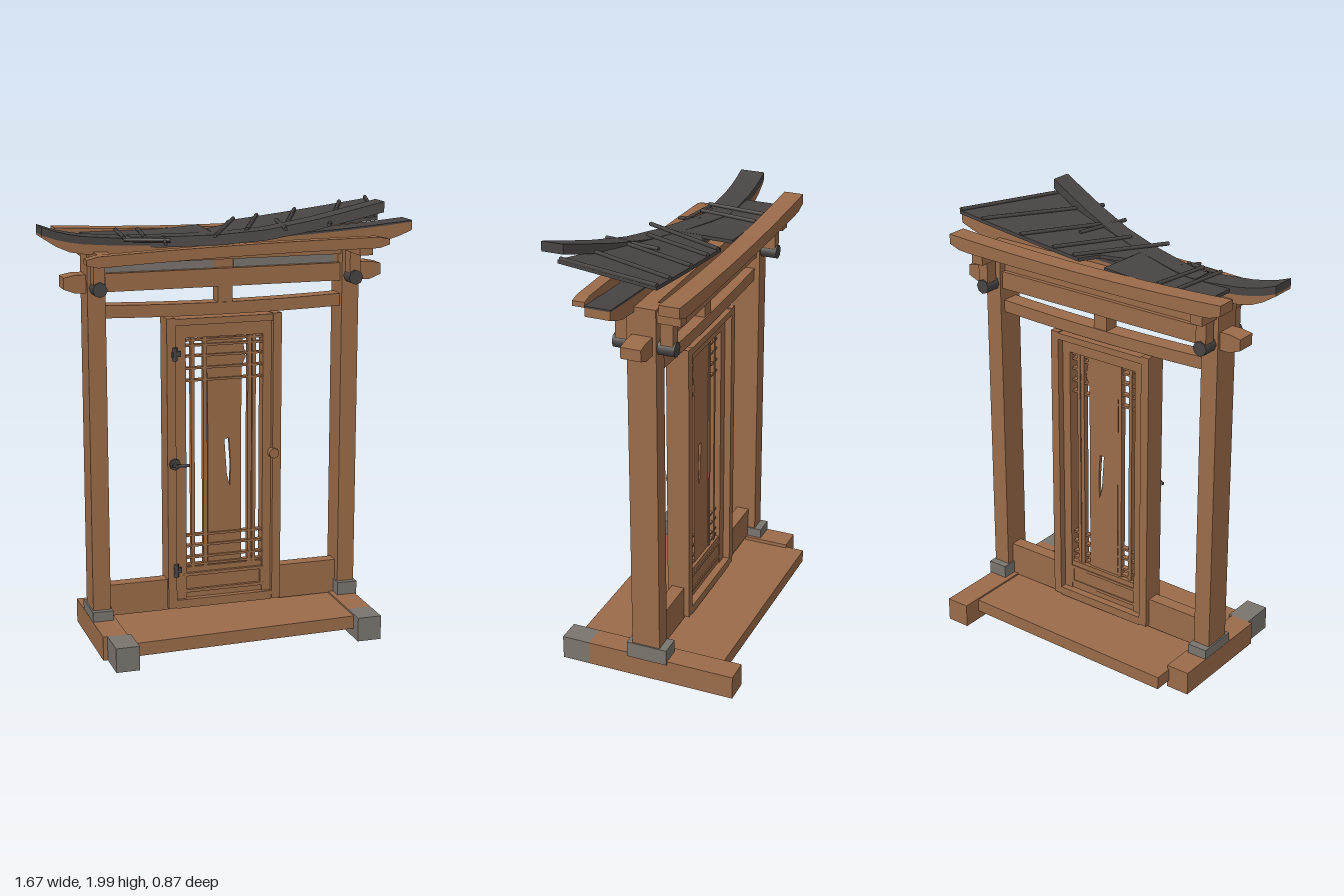
import * as THREE from 'three';

const mat = (name, color) => {
  const m = new THREE.MeshStandardMaterial({ color });
  m.name = name;
  return m;
};

export function createModel() {
  const wood = mat('warm wood', 0x9a6b49);
  const dark = mat('charcoal', 0x494444);
  const stone = mat('grey stone', 0x7a746e);
  const root = new THREE.Group();

  const add = (name, geo, material, parent = root) => {
    const m = new THREE.Mesh(geo, material);
    m.name = name;
    parent.add(m);
    return m;
  };
  // Box given by its limits on each axis
  const box = (name, x0, x1, y0, y1, z0, z1, material = wood, parent = root) => {
    const m = add(name, new THREE.BoxGeometry(x1 - x0, y1 - y0, z1 - z0), material, parent);
    m.position.set((x0 + x1) / 2, (y0 + y1) / 2, (z0 + z1) / 2);
    return m;
  };
  // Beam along x; rule(x) gives [bottom, top, z shift]
  const bent = (name, x0, x1, z0, z1, rule, material = wood) => {
    const g = new THREE.BoxGeometry(x1 - x0, 1, z1 - z0, 28, 1, 1);
    g.translate((x0 + x1) / 2, 0.5, (z0 + z1) / 2);
    const p = g.attributes.position;
    for (let i = 0; i < p.count; i++) {
      const [b, t, s = 0] = rule(p.getX(i));
      p.setY(i, b + (t - b) * p.getY(i));
      p.setZ(i, p.getZ(i) + s);
    }
    g.computeVertexNormals();
    return add(name, g, material);
  };
  // Straight round rod between two points
  const rod = (name, a, b, r, material = dark, parent = root) => {
    const A = new THREE.Vector3(...a), B = new THREE.Vector3(...b);
    const m = add(name, new THREE.CylinderGeometry(r, r, A.distanceTo(B), 8), material, parent);
    m.position.copy(A).add(B).multiplyScalar(0.5);
    m.quaternion.setFromUnitVectors(new THREE.Vector3(0, 1, 0), B.sub(A).normalize());
    return m;
  };
  // Interpolate through a few [x, y] points
  const curve = (pts) => (x) => {
    let i = 0;
    while (i < pts.length - 2 && x > pts[i + 1][0]) i++;
    const [a, b] = [pts[i], pts[i + 1]];
    return a[1] + (b[1] - a[1]) * (x - a[0]) / (b[0] - a[0]);
  };
  // Raises the underside near beam ends
  const endCut = (x, x0, x1, len, rise) =>
    rise * Math.max(0, 1 - Math.min(x - x0, x1 - x) / len);

  // Base: platform and two sleepers with stone ends
  const platform = box('platform', -0.54, 0.51, 0.05, 0.11, -0.355, 0.325);
  platform.rotation.z = 0.014;
  box('leftSleeper', 0.505, 0.615, 0.015, 0.125, -0.44, 0.25);
  box('leftSleeperEnd', 0.505, 0.615, 0.015, 0.125, 0.25, 0.38, stone);
  box('rightSleeper', -0.64, -0.53, 0.01, 0.12, -0.27, 0.25);
  box('rightSleeperEnd', -0.62, -0.515, 0.01, 0.12, 0.25, 0.405, stone);

  // Posts, stone feet and bracket work on each side
  for (const [name, x, dy] of [['left', 0.575, 0.02], ['right', -0.592, 0]]) {
    box(name + 'Post', x - 0.04, x + 0.04, 0.12, 1.8, -0.095, 0.035);
    box(name + 'PostFoot', x - 0.047, x + 0.047, 0.09 + dy, 0.165 + dy, -0.13, 0.06, stone);
    const bracket = new THREE.Group();
    bracket.name = name + 'Bracket';
    root.add(bracket);
    rod('crossPeg', [x, 1.625, -0.165], [x, 1.625, 0.1], 0.025, wood, bracket);
    for (const z of [-0.135, 0.065]) {
      box('hanger', x - 0.025, x + 0.025, 1.63, 1.78, z - 0.028, z + 0.028, wood, bracket);
      rod('pegCap', [x, 1.625, z - 0.035], [x, 1.625, z + 0.04], 0.033, dark, bracket);
    }
    box('crossArm', x - 0.03, x + 0.03, 1.74, 1.79, -0.2, 0.22, wood, bracket);
  }

  // Lintels, frieze and struts
  bent('tieBeam', -0.73, 0.73, -0.08, 0.01,
    (x) => [1.6 + endCut(x, -0.73, 0.73, 0.05, 0.02), 1.68 - endCut(x, -0.73, 0.73, 0.03, 0.01)]);
  bent('lowerLintel', -0.56, 0.54, -0.07, 0.01,
    (x) => [1.475 + 0.012 * x * x * 3, 1.53 + 0.04 * x * x]);
  box('friezeBoard', -0.55, 0.54, 1.67, 1.8, -0.06, -0.02);
  box('friezeRail', -0.55, 0.54, 1.72, 1.8, -0.07, 0.015);
  box('friezePanel', -0.55, -0.05, 1.68, 1.72, -0.02, -0.014, stone);
  box('friezePanel', 0.04, 0.515, 1.68, 1.72, -0.02, -0.014, stone);
  box('centreStrut', -0.038, 0.03, 1.53, 1.61, -0.065, 0.005);

  // Low side walls
  box('leftWall', 0.255, 0.54, 0.12, 0.28, -0.06, 0.0);
  box('rightWall', -0.555, -0.27, 0.12, 0.265, -0.06, 0.0);

  // Door frame
  box('doorJamb', -0.277, -0.237, 0.13, 1.47, -0.085, 0.02);
  box('doorJamb', 0.217, 0.257, 0.13, 1.47, -0.085, 0.02);
  box('doorHead', -0.237, 0.217, 1.435, 1.465, -0.085, 0.015);
  box('doorSill', -0.237, 0.217, 0.125, 0.165, -0.085, 0.015);

  // Door leaf
  const door = new THREE.Group();
  door.name = 'door';
  root.add(door);
  box('stile', -0.232, -0.185, 0.165, 1.435, -0.055, 0.0, wood, door);
  box('stile', 0.175, 0.215, 0.165, 1.435, -0.055, 0.0, wood, door);
  box('topRail', -0.185, 0.175, 1.375, 1.435, -0.055, 0.0, wood, door);
  box('bottomRail', -0.185, 0.175, 0.165, 0.31, -0.05, -0.012, wood, door);
  for (const y of [0.2, 0.278])
    box('panelMoulding', -0.2, 0.18, y - 0.007, y + 0.007, -0.055, 0.003, wood, door);
  for (const x of [-0.195, 0.172])
    box('panelMoulding', x - 0.007, x + 0.007, 0.2, 0.278, -0.055, 0.003, wood, door);
  for (const [x, w] of [[-0.15, 0.016], [-0.092, 0.018], [0.117, 0.018], [0.138, 0.016]])
    box('uprightBar', x - w / 2, x + w / 2, 0.305, 1.38, -0.04, -0.012, wood, door);
  for (const y of [1.362, 1.338, 1.29, 1.235, 1.18, 0.46, 0.41, 0.355, 0.32])
    box('latticeBar', -0.187, 0.177, y - 0.005, y + 0.005, -0.036, -0.01, wood, door);

  // Centre board with a slender split
  const board = new THREE.Shape([[-0.078, 0.305], [0.08, 0.305], [0.08, 1.23], [0.1, 1.27],
    [0.08, 1.38], [-0.078, 1.38], [-0.095, 1.27], [-0.078, 1.2]].map((p) => new THREE.Vector2(...p)));
  board.holes.push(new THREE.Path([[0.026, 0.68], [0.012, 0.73], [0, 0.9], [0.022, 0.9],
    [0.03, 0.78]].map((p) => new THREE.Vector2(...p))));
  const boardMesh = add('centreBoard',
    new THREE.ExtrudeGeometry(board, { depth: 0.016, bevelEnabled: false }), wood, door);
  boardMesh.position.z = -0.036;

  // Hinges, latch and handle
  for (const y of [0.31, 1.31]) {
    rod('hingePin', [-0.24, y - 0.03, 0.02], [-0.24, y + 0.03, 0.02], 0.011, dark, door);
    box('hingeLeaf', -0.255, -0.215, y - 0.012, y + 0.012, 0.014, 0.026, dark, door);
  }
  rod('latchPlate', [-0.245, 0.81, 0.018], [-0.245, 0.81, 0.032], 0.026, dark, door);
  rod('latchStem', [-0.245, 0.81, 0.02], [-0.245, 0.81, 0.065], 0.009, dark, door);
  rod('latchLever', [-0.265, 0.81, 0.055], [-0.185, 0.808, 0.055], 0.007, dark, door);
  rod('handle', [0.222, 0.825, 0], [0.222, 0.825, 0.03], 0.024, wood, door);

  // Long roof beams
  bent('backPurlin', -0.73, 0.7, -0.235, -0.145, (x) => {
    const y = 1.79 + 0.02 * x * x;
    return [y + endCut(x, -0.73, 0.7, 0.06, 0.02), y + 0.055 + 0.02 * x * x];
  });
  bent('frontPurlin', -0.68, 0.675, 0.19, 0.245, (x) => {
    const y = 1.765 + 0.025 * x - 0.02 * x * x;
    return [y + endCut(x, -0.68, 0.675, 0.05, 0.015), y + 0.048 - endCut(x, -0.68, 0.675, 0.04, 0.01)];
  });
  const ridgeTop = curve([[-0.84, 1.905], [-0.77, 1.88], [-0.68, 1.86], [-0.5, 1.845], [-0.2, 1.83],
    [0.2, 1.83], [0.5, 1.845], [0.7, 1.86], [0.835, 1.872]]);
  const capDepth = curve([[-0.84, 0.035], [-0.3, 0.03], [0.1, 0.01], [0.835, 0.008]]);
  bent('ridgeBeam', -0.84, 0.835, 0, 0.11, (x) => [
    ridgeTop(x) - 0.075 + endCut(x, -0.84, 0.835, 0.1, 0.03), ridgeTop(x) - capDepth(x)]);
  bent('ridgeCap', -0.84, 0.835, -0.002, 0.112, (x) => [ridgeTop(x) - capDepth(x), ridgeTop(x)], dark);

  // Slanted, upswept eave board
  const eaveTop = curve([[-0.5, 1.845], [-0.3, 1.846], [-0.1, 1.855], [0.1, 1.877], [0.3, 1.922],
    [0.45, 1.965], [0.57, 2.0]]);
  bent('sweptEave', -0.45, 0.565, 0, 0.1,
    (x) => [eaveTop(x) - 0.045, eaveTop(x), Math.max(0, (x + 0.4) * 0.345)], dark);

  // Roof boarding: strips between a back edge and a front edge, [x, z] corners
  const roofY = (x) => 1.835 + 0.105 * Math.pow(Math.max(0, (x + 0.3) / 1.02), 1.3);
  const boards = (name, [b0, b1], [f0, f1]) => {
    const g = new THREE.BoxGeometry(1, 0.016, 1, 16, 1, 6);
    const p = g.attributes.position;
    const mix = THREE.MathUtils.lerp;
    for (let i = 0; i < p.count; i++) {
      const u = p.getX(i) + 0.5, v = p.getZ(i) + 0.5;
      const x = mix(mix(b0[0], b1[0], u), mix(f0[0], f1[0], u), v);
      const z = mix(mix(b0[1], b1[1], u), mix(f0[1], f1[1], u), v);
      p.setXYZ(i, x, roofY(x) + p.getY(i), z);
    }
    g.computeVertexNormals();
    add(name, g, dark);
  };
  boards('roofBoardsRight', [[-0.62, -0.145], [-0.085, -0.145]], [[-0.62, 0.05], [-0.1, 0.15]]);
  boards('roofBoardsMiddle', [[-0.09, 0.0], [0.03, -0.06]], [[-0.1, 0.15], [-0.05, 0.17]]);
  boards('roofBoardsLeft', [[0.05, -0.145], [0.715, -0.145]], [[-0.08, 0.16], [0.565, 0.36]]);

  // Battens across the roof, [back x, back z, front x, front z]
  for (const [x0, z0, x1, z1] of [[-0.46, -0.145, -0.49, 0.13], [-0.36, -0.145, -0.4, 0.13],
    [0.08, -0.145, -0.13, 0.26], [0.19, -0.145, 0.03, 0.2], [0.21, 0.07, 0.16, 0.335],
    [0.37, -0.145, 0.17, 0.29], [0.585, -0.145, 0.33, 0.4], [0.71, -0.145, 0.56, 0.35]])
    rod('batten', [x0, roofY(x0) + 0.013, z0], [x1, roofY(x1) + 0.013, z1], 0.009);

  // Loose rods at the eaves
  rod('looseRod', [-0.49, 1.84, 0.125], [-0.3, 1.835, 0.165], 0.008);
  rod('looseRod', [-0.47, 1.83, 0.1], [-0.29, 1.83, 0.145], 0.008);
  rod('looseRod', [-0.31, 1.84, 0.1], [-0.33, 1.825, 0.21], 0.008);

  return root;
}
